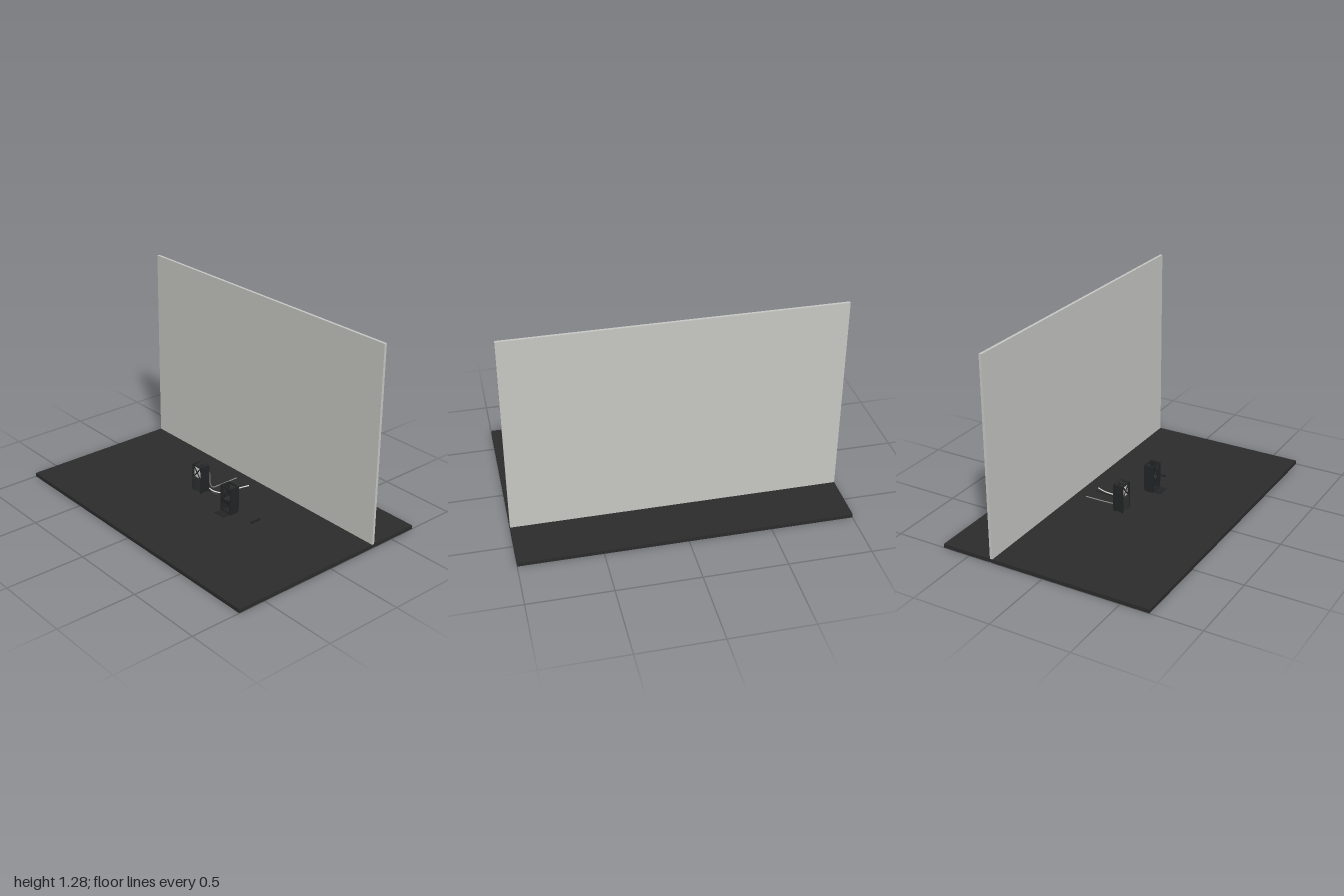
import * as THREE from 'three';

const mat = (name, color, side = THREE.FrontSide) => {
  const m = new THREE.MeshStandardMaterial({ color, side });
  m.name = name;
  return m;
};

export function createModel() {
  const root = new THREE.Group();
  const floorMat = mat('floorCharcoal', 0x2c2c2c);
  const wallMat = mat('wallGrey', 0xc7c7c4);
  const caseMat = mat('caseBlack', 0x232425);
  const panelMat = mat('panelGraphite', 0x303132);
  const paleMat = mat('paleGrey', 0xd8d8d4);
  const cableMat = mat('cableGrey', 0x8c8c8a);

  // Box given by its low and high corners
  const box = (parent, name, m, [x0, y0, z0], [x1, y1, z1]) => {
    const mesh = new THREE.Mesh(new THREE.BoxGeometry(x1 - x0, y1 - y0, z1 - z0), m);
    mesh.position.set((x0 + x1) / 2, (y0 + y1) / 2, (z0 + z1) / 2);
    mesh.name = name;
    parent.add(mesh);
    return mesh;
  };
  const group = (name, x, z) => {
    const g = new THREE.Group();
    g.name = name;
    g.position.set(x, 0, z);
    root.add(g);
    return g;
  };
  const tube = (name, m, r, pts) => {
    const curve = new THREE.CatmullRomCurve3(pts.map((p) => new THREE.Vector3(...p)));
    const mesh = new THREE.Mesh(new THREE.TubeGeometry(curve, 48, r, 8), m);
    mesh.name = name;
    root.add(mesh);
  };
  // Two crossed bars filling a rectangle in the xy plane
  const cross = (parent, w, h, y, z) => {
    for (const s of [-1, 1]) {
      const bar = new THREE.Mesh(new THREE.BoxGeometry(0.007, Math.hypot(w, h), 0.004), caseMat);
      bar.position.set(0, y, z);
      bar.rotation.z = s * Math.atan2(w, h);
      bar.name = 'crossBrace';
      parent.add(bar);
    }
  };

  // Floor slab and backdrop wall
  box(root, 'floor', floorMat, [-1, 0, -0.68], [1, 0.024, 0.68]);
  box(root, 'wall', wallMat, [-1, 0.024, -0.353], [1, 1.275, -0.336]);
  box(root, 'wallFoot', wallMat, [-1, -0.0004, -0.353], [1, 0.001, -0.349]);

  // Assembled tower: closed sides, braced window above a solid front panel
  const W = 0.043, D = 0.034;
  const tower = group('assembledTower', -0.139, 0.01);
  for (const s of [-1, 1]) {
    const a = s * W, b = s * (W - 0.008);
    box(tower, 'sidePanel', caseMat, [Math.min(a, b), 0.033, -D], [Math.max(a, b), 0.207, D]);
    for (const z of [-0.024, 0.024]) {
      box(tower, 'foot', caseMat, [s * 0.032 - 0.006, 0.024, z - 0.006], [s * 0.032 + 0.006, 0.033, z + 0.006]);
    }
  }
  box(tower, 'frontPanel', panelMat, [-0.035, 0.033, D - 0.006], [0.035, 0.12, D]);
  box(tower, 'basePanel', caseMat, [-0.035, 0.033, -D], [0.035, 0.04, D - 0.006]);
  box(tower, 'topPanel', caseMat, [-0.035, 0.199, -D], [0.035, 0.207, D]);
  box(tower, 'shelf', caseMat, [-0.035, 0.112, -D], [0.035, 0.12, D - 0.006]);
  box(tower, 'backPanel', caseMat, [-0.035, 0.04, -D], [0.035, 0.199, -D + 0.004]);
  box(tower, 'windowBacking', paleMat, [-0.035, 0.12, D - 0.016], [0.035, 0.199, D - 0.012]);
  cross(tower, 0.062, 0.074, 0.16, D - 0.004);
  for (let i = -2; i <= 2; i++) {
    box(tower, 'topGrille', panelMat, [i * 0.013 - 0.003, 0.207, -0.025], [i * 0.013 + 0.003, 0.21, 0.025]);
  }
  for (const s of [-1, 1]) {
    box(tower, 'topLatch', caseMat, [s * 0.022 - 0.004, 0.207, -0.008], [s * 0.022 + 0.004, 0.215, 0.022]);
  }

  // Open tower: see-through frame with barred lower sides
  const frame = group('openTower', 0.18, 0.047);
  for (const s of [-1, 1]) {
    const lo = s < 0 ? -0.045 : 0.036, hi = lo + 0.009;
    box(frame, 'upperSide', caseMat, [lo, 0.095, -D], [hi, 0.205, D]);
    box(frame, 'lowerRail', caseMat, [lo, 0.033, -D], [hi, 0.06, D]);
    for (let i = 0; i < 5; i++) {
      const z = -D + 0.006 + i * 0.014;
      box(frame, 'sideBar', caseMat, [lo, 0.06, z - 0.006], [hi, 0.095, z + 0.006]);
    }
  }
  for (const [name, y0, y1] of [['bottomBar', 0.033, 0.042], ['middleBar', 0.094, 0.118], ['topBar', 0.196, 0.205]]) {
    for (const z of [-D, D - 0.008]) {
      box(frame, name, caseMat, [-0.036, y0, z], [0.036, y1, z + 0.008]);
    }
  }
  box(frame, 'innerShelf', panelMat, [-0.036, 0.1, -D + 0.008], [0.036, 0.108, D - 0.008]);
  cross(frame, 0.062, 0.074, 0.157, D - 0.004);
  box(frame, 'trayPlate', caseMat, [-0.04, 0.03, -D], [0.04, 0.034, 0.082]);
  for (const x of [-0.034, 0.034]) {
    box(frame, 'traySupport', caseMat, [x - 0.005, 0.024, -0.025], [x + 0.005, 0.03, 0.025]);
  }

  // Small loose bar on the floor
  box(root, 'looseBar', caseMat, [0.364, 0.024, -0.03], [0.374, 0.035, 0.042]);

  // Cables running back along the floor
  tube('powerCable', cableMat, 0.0035, [
    [-0.108, 0.155, -0.022], [-0.108, 0.15, -0.032], [-0.108, 0.07, -0.038],
    [-0.109, 0.035, -0.06], [-0.11, 0.03, -0.11], [-0.112, 0.03, -0.26],
  ]);
  tube('paleCable', paleMat, 0.004, [
    [-0.1, 0.045, -0.024], [-0.065, 0.04, -0.025], [-0.03, 0.031, -0.055],
    [-0.008, 0.029, -0.12], [0, 0.029, -0.19], [0.018, 0.032, -0.25],
  ]);
  tube('darkCable', caseMat, 0.004, [
    [-0.096, 0.04, -0.015], [-0.06, 0.034, -0.012], [-0.035, 0.028, -0.045],
    [-0.022, 0.028, -0.12], [-0.012, 0.028, -0.25],
  ]);
  return root;
}
